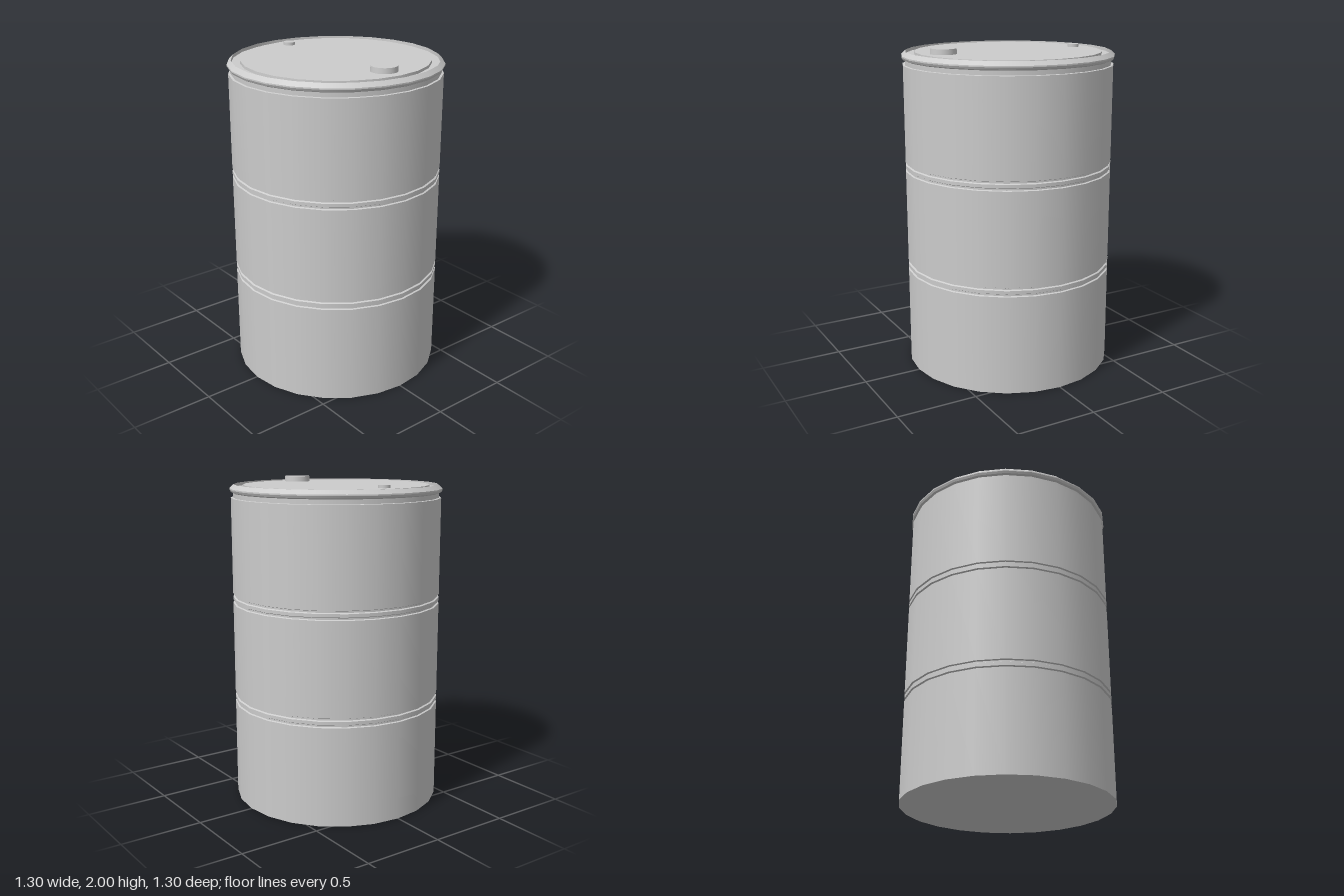
import * as THREE from 'three';
import { mergeGeometries } from 'three/addons/utils/BufferGeometryUtils.js';

const material = new THREE.MeshStandardMaterial({ color: 0xcccccc });
const SIDES = 24;

// Revolve each profile span on its own: smooth around, crisp between bands
function turned(name, profile, sides = SIDES) {
  const spans = [];
  for (let i = 0; i < profile.length - 1; i++) {
    const pair = [profile[i], profile[i + 1]].map(([r, y]) => new THREE.Vector2(r, y));
    spans.push(new THREE.LatheGeometry(pair, sides));
  }
  const mesh = new THREE.Mesh(mergeGeometries(spans), material);
  mesh.name = name;
  return mesh;
}

// Rolling hoop: a raised band between two shallow notches
function hoop(y, outer, inner) {
  return [
    [outer, y - 0.029], [inner, y - 0.025], [inner, y - 0.015], [outer, y - 0.01],
    [outer, y + 0.01], [inner, y + 0.015], [inner, y + 0.025], [outer, y + 0.029],
  ];
}

// Screw plug with a slight taper
function plug(name, radius, topRadius, top, z) {
  const mesh = turned(name, [[radius, 1.94], [topRadius, top], [0, top]], 32);
  mesh.position.z = z;
  return mesh;
}

export function createModel() {
  const drum = new THREE.Group();
  drum.name = 'drum';
  const R = 0.643;

  // Shell with two hoops and a recessed neck under the lid
  drum.add(turned('shell', [
    [0, 0], [R, 0],
    ...hoop(0.64, R, 0.633),
    ...hoop(1.273, R, 0.633),
    [R, 1.89], [0.63, 1.892], [0.63, 1.93],
  ]));

  // Lid with bevelled rim and a groove around the raised centre
  drum.add(turned('lid', [
    [0.628, 1.918], [0.643, 1.925], [0.65, 1.938], [0.65, 1.946], [0.625, 1.97],
    [0.624, 1.95], [0.571, 1.95], [0.57, 1.967], [0, 1.967],
  ]));

  // Filler plug at the front, vent plug at the back
  drum.add(plug('fillerPlug', 0.081, 0.078, 2, 0.433));
  drum.add(plug('ventPlug', 0.036, 0.036, 1.985, -0.473));

  return drum;
}
